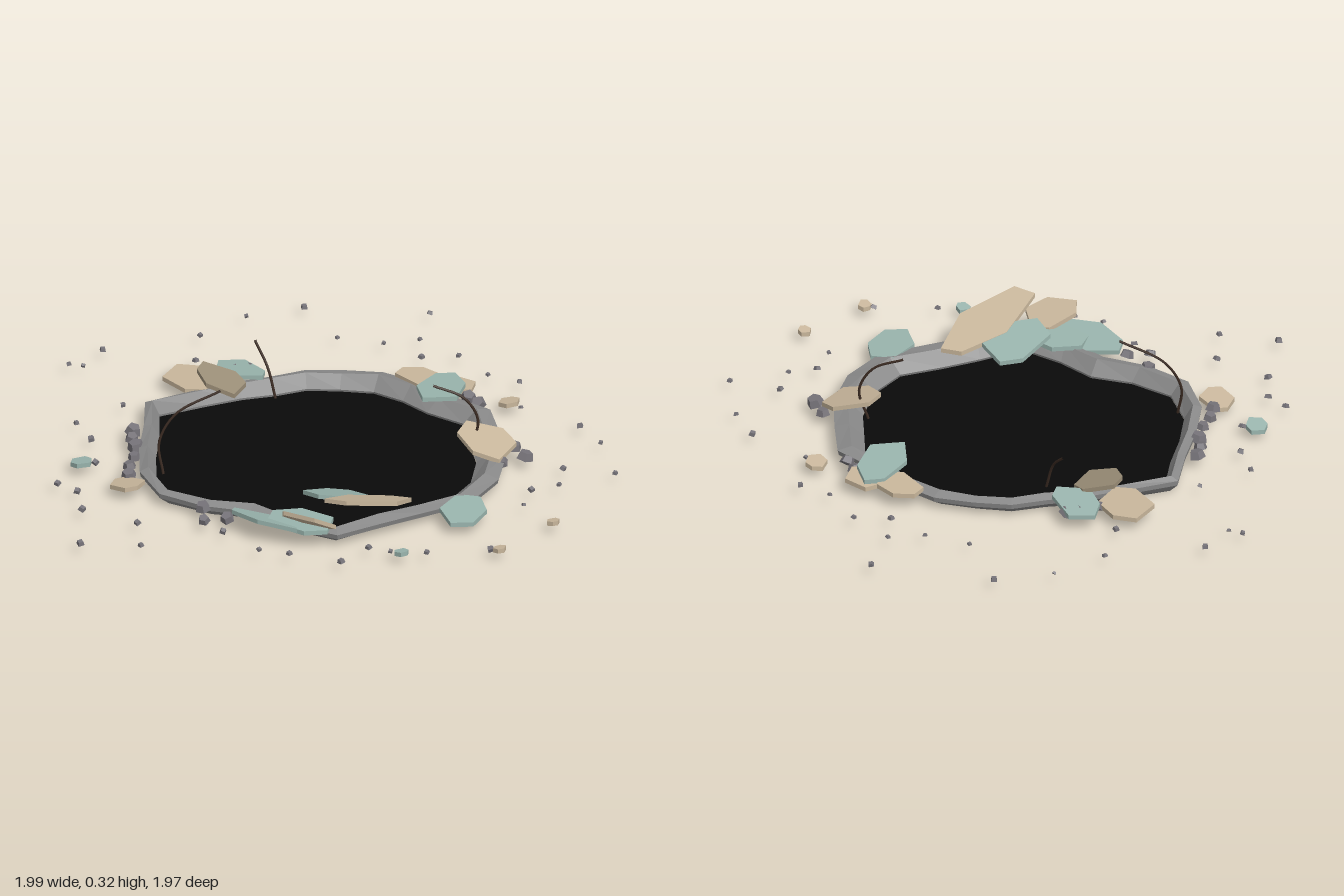
import * as THREE from 'three';

const TAN = 0xc9b79c, TEAL = 0x9ab5ae, BROWN = 0x9c8f78;

const material = (color, extra = {}) =>
  new THREE.MeshStandardMaterial({ color, roughness: 0.9, flatShading: true, ...extra });

let seed = 7;
const rand = () => (seed = (seed * 16807) % 2147483647) / 2147483647;

const polar = (angle, r) => [Math.cos(angle) * r, Math.sin(angle) * r];

// Outer radius of the broken edge, at equal angles from +x towards +z
const RADII = [
  .66, .665, .62, .62, .67, .60, .55, .60, .65, .635, .60, .59,
  .635, .54, .495, .47, .49, .495, .52, .525, .535, .61, .605, .635,
];
const STEP = 2 * Math.PI / RADII.length;
const rimWidth = (angle) => 0.078 + 0.025 * Math.cos(angle);

// Point on the rim: t = 0 at the outer edge, 1 at the hole
const rimPoint = (i, t) => polar(i * STEP, RADII[i] - t * rimWidth(i * STEP));

// Rim cross-section: [t, height], from the outside over the crest and underneath
const PROFILE = [[.05, .03], [0, .048], [.5, .06], [1, .012], [.95, 0], [.6, 0], [.05, .03]];

function rimGeometry() {
  const n = RADII.length, pos = [], index = [];
  PROFILE.forEach(([t, y], k) => RADII.forEach((_, i) => {
    const [x, z] = rimPoint(i, t);
    pos.push(x, k === 2 ? y - (i % 3) * 0.003 : y, z);
    if (k < PROFILE.length - 1) {
      // Going from +x to +z, the next point lies clockwise as seen from above
      const a = k * n + i, b = k * n + (i + 1) % n;
      index.push(a, b + n, b, a, a + n, b + n);
    }
  }));
  const g = new THREE.BufferGeometry();
  g.setAttribute('position', new THREE.Float32BufferAttribute(pos, 3));
  g.setIndex(index);
  const flat = g.toNonIndexed();
  flat.computeVertexNormals();
  return flat;
}

// Outline in x and z, to be turned flat
const outline = (pts) => new THREE.Shape(pts.map(([x, z]) => new THREE.Vector2(x, -z)));

// Irregular six-sided slab, turned about y and sheared to slopes gx and gz
function slabGeometry(length, width, turn, gx, gz) {
  const thick = 0.016;
  const pts = Array.from({ length: 6 }, (_, i) => {
    const [u, v] = polar((i + 0.5 * rand()) * Math.PI / 3, 1 + 0.15 * rand());
    const c = Math.cos(turn), s = Math.sin(turn);
    return [u * length * c - v * width * s, u * length * s + v * width * c];
  });
  const g = new THREE.ExtrudeGeometry(outline(pts), { depth: thick, bevelEnabled: false });
  g.rotateX(-Math.PI / 2).translate(0, -thick / 2, 0);
  const p = g.attributes.position;
  for (let i = 0; i < p.count; i++) {
    p.setY(i, p.getY(i) + gx * p.getX(i) + gz * p.getZ(i));
  }
  g.computeVertexNormals();
  return g;
}

// Tiles: colour, x, z, half length, half width, turn, height, slope x, slope z
const TILES = [
  [TAN, .385, .44, .16, .08, -1.1, .122, .08, .4],
  [TEAL, .26, .41, .115, .08, -.8, .1, .05, .38],
  [TAN, .25, .615, .09, .045, -.35, .1, 0, .75],
  [TEAL, .09, .61, .13, .055, .2, .065, -.05, .35],
  [TEAL, .2, .565, .12, .08, 0, .062, 0, .05],
  [TEAL, .64, .245, .1, .073, 1.4, .045, -.05, 0],
  [TAN, .54, -.165, .1, .085, .3, .082, -.28, -.05],
  [TAN, .13, -.52, .085, .06, .2, .056, 0, .05],
  [TAN, .255, -.54, .07, .058, 0, .05, 0, .1],
  [TEAL, .24, -.45, .115, .075, 1.4, .076, 0, .1],
  [TAN, -.565, -.22, .095, .08, .4, .045, 0, .03],
  [TEAL, -.43, -.315, .09, .07, .3, .06, .05, .12],
  [BROWN, -.44, -.19, .085, .07, .3, .084, -.3, .05],
];

// Small tiles lying on the ground: colour, x, z, radius
const CHIPS = [
  [TAN, -.46, .53, .054], [TEAL, -.66, .455, .036], [TAN, .46, -.52, .035],
  [TEAL, .57, .585, .022], [TAN, .86, .425, .022], [TAN, .94, .18, .02],
];

// Farthest crumbs, and the directions in which chunks pile up by the rim
const FAR_CRUMBS = [[-.04, -.98], [-.985, -.155], [.985, -.22], [-.43, .965]];
const PILES = [1.75, 2.45, 2.75, 3.75, 5.3, 6.0];

// Bent reinforcing rods
const RODS = [
  [[-.385, .03, .40], [-.405, .14, .39], [-.36, .24, .355], [-.23, .32, .28]],
  [[.47, .03, -.175], [.497, .14, -.19], [.455, .225, -.17], [.36, .27, -.13]],
  [[-.265, .03, -.235], [-.30, .13, -.25], [-.365, .20, -.29]],
];

export function createModel() {
  const model = new THREE.Group();
  seed = 7;
  const add = (name, geometry, mat, x = 0, y = 0, z = 0) => {
    const mesh = new THREE.Mesh(geometry, mat);
    mesh.name = name;
    mesh.position.set(x, y, z);
    model.add(mesh);
    return mesh;
  };

  add('brokenRim', rimGeometry(), material(0x8a8a8a));

  // Dark hole just above the underside
  const hole = new THREE.ShapeGeometry(outline(RADII.map((_, i) => rimPoint(i, 1))));
  hole.rotateX(-Math.PI / 2);
  add('darkHole', hole, material(0x090909, { side: THREE.DoubleSide }), 0, 0.005, 0);

  TILES.forEach(([color, x, z, length, width, turn, y, gx, gz]) =>
    add('tileFragment', slabGeometry(length, width, turn, gx, gz), material(color), x, y, z));
  CHIPS.forEach(([color, x, z, r]) =>
    add('tileChip', slabGeometry(r, r, 0, .15, .1), material(color), x, .038, z));

  // Rubble: chunks piled near the rim, crumbs spread around the hole
  const stone = material(0x77747a);
  const rubble = (name, [x, z], size, sides, y) => {
    const r = size * (0.75 + 0.5 * rand());
    const mesh = add(name, new THREE.CylinderGeometry(r * 0.75, r, r * 0.9, sides), stone, x, y, z);
    mesh.rotation.set(rand() * 0.5, rand() * 6.28, rand() * 0.5);
  };
  PILES.forEach((angle) => {
    const edge = RADII[Math.round(angle / STEP) % RADII.length];
    for (let i = -1; i <= 1; i++) {
      rubble('rubbleChunk', polar(angle + i * 0.09, edge + 0.09 * rand() - 0.02), .026, 5, .045);
    }
  });
  FAR_CRUMBS.forEach((spot) => rubble('crumb', spot, .013, 4, .038));
  for (let i = 0; i < 38; i++) {
    rubble('crumb', polar(i * 2.4, 0.68 + 0.3 * rand()), .012, 4, .038);
  }

  const rust = material(0x3b2b22, { flatShading: false });
  RODS.forEach((pts) => {
    const curve = new THREE.CatmullRomCurve3(pts.map((p) => new THREE.Vector3(...p)));
    add('bentRod', new THREE.TubeGeometry(curve, 20, .0045, 6), rust);
  });

  return model;
}
